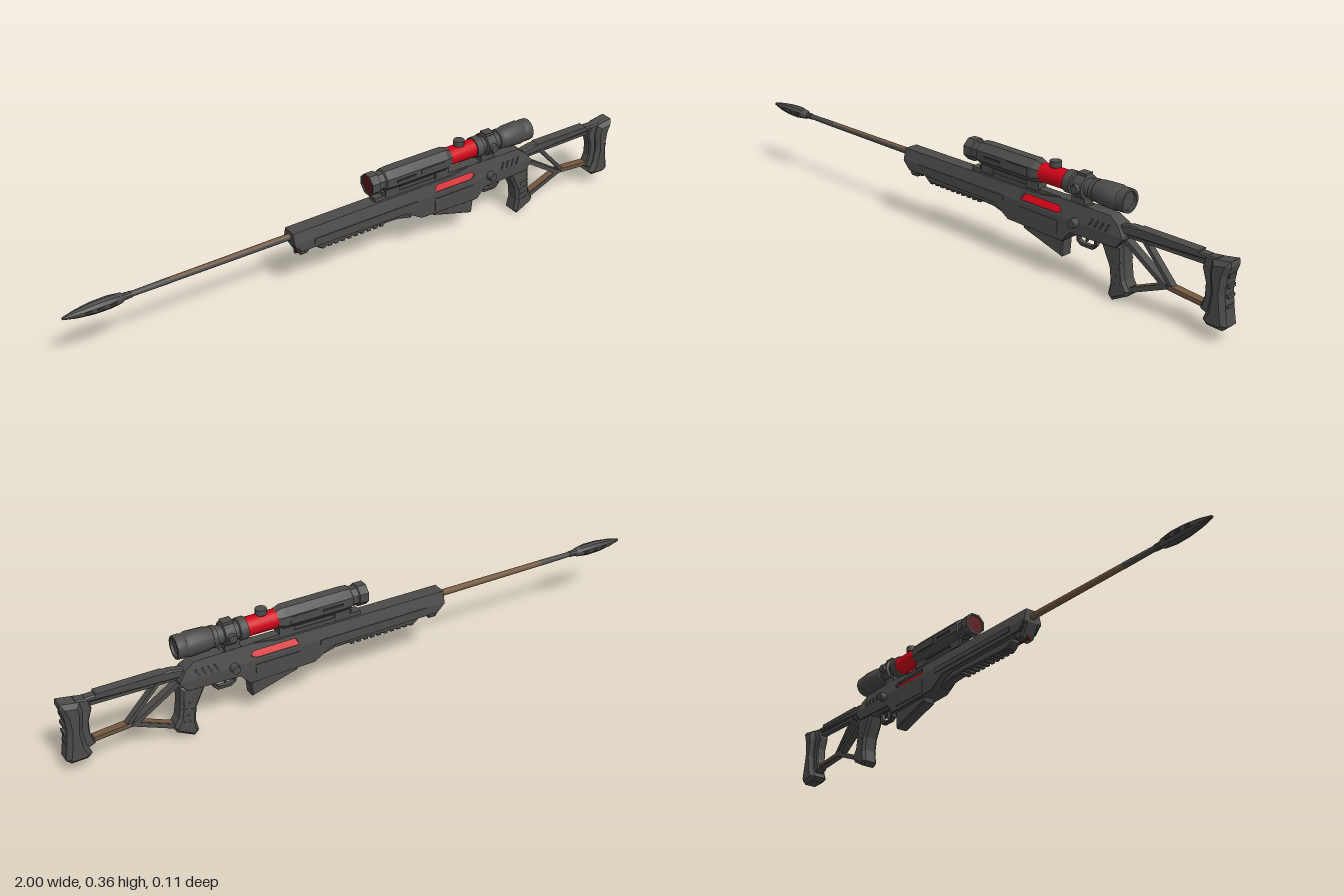
import * as THREE from 'three';
import { toCreasedNormals } from 'three/addons/utils/BufferGeometryUtils.js';

export function createModel() {
  const root = new THREE.Group();
  root.name = 'scopedRifle';
  const mat = (name, color) => {
    const m = new THREE.MeshStandardMaterial({ color });
    m.name = name;
    return m;
  };
  const body = mat('gunmetal', 0x4c4b4a);
  const dark = mat('darkRecess', 0x353434);
  const red = mat('redAccent', 0xd00418);
  const brown = mat('bronzeBarrel', 0x74583f);
  const lens = mat('lensDarkRed', 0x5a1a1a);

  const add = (name, geo, m = body) => {
    const mesh = new THREE.Mesh(geo, m);
    mesh.name = name;
    root.add(mesh);
    return mesh;
  };
  // side profile in x/y, extruded across z with chamfered edges
  const plate = (name, pts, width, m = body, bevel = 0.005, z = 0, holes = []) => {
    const shape = new THREE.Shape(pts.map(p => new THREE.Vector2(...p)));
    holes.forEach(h => shape.holes.push(new THREE.Path(h.map(p => new THREE.Vector2(...p)))));
    const geo = new THREE.ExtrudeGeometry(shape, {
      depth: width - 2 * bevel, bevelEnabled: bevel > 0, bevelThickness: bevel,
      bevelSize: bevel, bevelOffset: -bevel, bevelSegments: 1,
    });
    geo.translate(0, 0, z - width / 2 + bevel);
    return add(name, geo, m);
  };
  // narrows a plate towards its top, giving sloped flanks
  const slope = (mesh, rate = 8, base = 0.205) => {
    const p = mesh.geometry.attributes.position;
    for (let i = 0; i < p.count; i++) p.setZ(i, p.getZ(i) * (1 - Math.max(0, p.getY(i) - base) * rate));
    mesh.geometry.computeVertexNormals();
  };
  // turned part along x, points are [x, radius]
  const turned = (name, pts, y, m = body, sides = 16, crease = 0.6) => {
    const geo = new THREE.LatheGeometry(pts.map(([x, r]) => new THREE.Vector2(r, x)), sides, Math.PI / sides);
    geo.rotateZ(-Math.PI / 2).translate(0, y, 0);
    return add(name, toCreasedNormals(geo, crease), m);
  };
  const box = (name, x0, x1, y0, y1, width, m = body, z = 0) =>
    add(name, new THREE.BoxGeometry(x1 - x0, y1 - y0, width).translate((x0 + x1) / 2, (y0 + y1) / 2, z), m);
  const strut = (name, a, b, thick, width, m = body) => {
    const dx = b[0] - a[0], dy = b[1] - a[1];
    const geo = new THREE.BoxGeometry(Math.hypot(dx, dy) + thick * 0.5, thick, width);
    geo.rotateZ(Math.atan2(dy, dx)).translate((a[0] + b[0]) / 2, (a[1] + b[1]) / 2, 0);
    return add(name, geo, m);
  };

  // barrel: bronze with a grey strip along its front side, grey tip
  const by = 0.221;
  const barrelPart = (name, m, start, length) => add(name,
    new THREE.CylinderGeometry(0.011, 0.0095, 0.42, 12, 1, true, start, length)
      .rotateZ(-Math.PI / 2).translate(-0.46, by, 0), m);
  barrelPart('barrelFrontStrip', body, -0.7, 1.4);
  barrelPart('barrel', brown, 0.7, Math.PI * 2 - 1.4);
  turned('barrelTip', [[-0.83, 0], [-0.83, 0.008], [-0.67, 0.0098], [-0.66, 0]], by);
  turned('muzzleBrake', [[-1, 0], [-1, 0.004], [-0.96, 0.013], [-0.91, 0.019], [-0.86, 0.02],
    [-0.82, 0.015], [-0.815, 0.011], [-0.79, 0.01], [-0.79, 0]], by, body, 10);
  for (const s of [-1, 1]) for (let i = 0; i < 3; i++)
    box('muzzlePort', -0.935 + i * 0.035, -0.915 + i * 0.035, by - 0.005, by + 0.005, 0.006, dark, s * (0.0152 + Math.min(i, 1) * 0.002));

  // receiver and forend: straight lower half, sloped upper half with a window
  const slot = [[0.25, 0.212], [0.395, 0.212], [0.412, 0.222], [0.4, 0.234], [0.26, 0.234]];
  plate('lowerReceiver', [[-0.27, 0.2], [-0.245, 0.175], [0.14, 0.172], [0.2, 0.135], [0.42, 0.13], [0.45, 0.165],
    [0.56, 0.168], [0.62, 0.17], [0.645, 0.2], [0.643, 0.206], [-0.27, 0.206]], 0.066, body, 0.001);
  slope(plate('upperReceiver', [[-0.27, 0.205], [0.643, 0.205], [0.62, 0.235], [0.59, 0.255], [0.4, 0.257],
    [0.32, 0.245], [-0.27, 0.242]], 0.066, body, 0, 0, [slot]));
  // tilted red inlay set back inside the window
  slope(plate('redSlot', slot, 0.058, red, 0), 29, 0.212);
  for (let i = 0; i < 4; i++) {
    const x = 0.515 + i * 0.02;
    slope(plate('coolingSlash', [[x, 0.208], [x + 0.008, 0.208], [x + 0.018, 0.23], [x + 0.01, 0.23]], 0.069, dark, 0));
  }
  plate('forendCollar', [[-0.27, 0.2], [-0.245, 0.155], [-0.22, 0.155], [-0.2, 0.18], [-0.2, 0.205]], 0.05, body, 0.006);
  const lamp = add('forendLamp', new THREE.CylinderGeometry(0.007, 0.007, 0.04, 12), lens);
  lamp.rotation.z = Math.PI / 2;
  lamp.position.set(-0.233, 0.16, 0);
  for (const s of [-1, 1]) {
    box('forendSidePanel', -0.2, 0.18, 0.188, 0.206, 0.005, body, s * 0.033);
    const pin = add('receiverKnob', new THREE.CylinderGeometry(0.013, 0.015, 0.022, 10));
    pin.rotation.x = s * Math.PI / 2;
    pin.position.set(0.47, 0.203, s * 0.042);
    box('magazineWellPanel', 0.25, 0.4, 0.145, 0.19, 0.004, body, s * 0.033);
  }

  // under rail with a curved hook at the rear
  plate('underRail', [[-0.19, 0.165], [-0.17, 0.148], [0.06, 0.152], [0.12, 0.15], [0.17, 0.137],
    [0.175, 0.145], [0.14, 0.166], [0.1, 0.178], [-0.19, 0.178]], 0.034, body, 0.004);
  for (let i = 0; i < 10; i++) box('railTooth', -0.165 + i * 0.024, -0.152 + i * 0.024, 0.145, 0.156, 0.03);

  // magazine, trigger and guard
  plate('magazine', [[0.25, 0.14], [0.255, 0.118], [0.41, 0.073], [0.415, 0.14]], 0.044, body, 0.004);
  plate('triggerGuard', [[0.45, 0.17], [0.455, 0.135], [0.47, 0.124], [0.515, 0.124], [0.53, 0.14], [0.53, 0.17]], 0.018, body, 0.002, 0,
    [[[0.461, 0.165], [0.52, 0.165], [0.52, 0.143], [0.51, 0.134], [0.474, 0.134], [0.463, 0.141]]]);
  strut('trigger', [0.495, 0.168], [0.488, 0.142], 0.006, 0.008);

  // pistol grip
  plate('grip', [[0.555, 0.18], [0.565, 0.155], [0.592, 0.1], [0.598, 0.055], [0.59, 0.015], [0.605, 0.001],
    [0.66, 0.03], [0.668, 0.045], [0.65, 0.075], [0.643, 0.12], [0.64, 0.18]], 0.056, body, 0.009);
  for (const s of [-1, 1]) for (let i = 0; i < 4; i++)
    strut('gripRidge', [0.606, 0.055 + i * 0.022], [0.636, 0.063 + i * 0.022], 0.004, 0.003).position.z = s * 0.0275;

  // skeleton stock
  plate('stockTopBar', [[0.62, 0.21], [0.9, 0.222], [0.92, 0.222], [0.92, 0.238], [0.66, 0.243], [0.62, 0.235]], 0.03, body, 0.004);
  box('cheekRest', 0.68, 0.89, 0.23, 0.243, 0.032);
  strut('stockUpperRail', [0.64, 0.208], [0.92, 0.212], 0.011, 0.018);
  strut('frontStrut', [0.625, 0.2], [0.78, 0.1], 0.014, 0.026);
  strut('middleStrut', [0.7, 0.212], [0.805, 0.1], 0.012, 0.022);
  strut('gripStrut', [0.655, 0.045], [0.785, 0.1], 0.015, 0.026);
  strut('gripStrutInlay', [0.67, 0.059], [0.77, 0.1015], 0.003, 0.022, brown);
  strut('lowerBar', [0.78, 0.1], [0.92, 0.088], 0.012, 0.024);
  strut('lowerBarInlay', [0.8, 0.102], [0.905, 0.093], 0.009, 0.026, brown);
  plate('buttBracket', [[0.905, 0.08], [0.95, 0.06], [0.95, 0.24], [0.912, 0.235], [0.905, 0.2], [0.918, 0.16], [0.918, 0.12]], 0.034, body, 0.004);
  plate('buttPad', [[0.92, 0.055], [0.935, 0.042], [0.985, 0.04], [1, 0.055], [0.992, 0.1], [0.985, 0.15],
    [0.99, 0.2], [1, 0.23], [0.997, 0.245], [0.94, 0.235], [0.934, 0.2], [0.942, 0.14], [0.935, 0.09]], 0.066, body, 0.013);
  for (let i = 0; i < 4; i++) box('buttPadRib', 0.975, 0.994, 0.105 + i * 0.03, 0.115 + i * 0.03, 0.03);

  // scope rail and mounts
  const sy = 0.308;
  box('scopeRail', 0.03, 0.5, 0.24, 0.257, 0.03);
  box('scopeMountBase', 0.06, 0.3, 0.25, 0.268, 0.024);
  for (const x of [0.07, 0.26, 0.44]) box('scopeMount', x, x + 0.05, 0.25, 0.285, 0.036);

  // scope
  turned('objectiveHousing', [[0.014, 0.03], [0.01, 0.031], [0.01, 0.037], [0.04, 0.037], [0.042, 0.032], [0.062, 0.032],
    [0.065, 0.037], [0.09, 0.039], [0.295, 0.039], [0.317, 0.031], [0.317, 0]], sy, body, 8, 0.3);
  turned('objectiveLens', [[0.013, 0], [0.013, 0.03], [0.02, 0.03]], sy, lens, 8);
  for (const s of [-1, 1]) {
    box('housingSlot', 0.1, 0.17, sy - 0.004, sy + 0.004, 0.004, dark, s * 0.036);
    box('housingPanel', 0.19, 0.28, sy - 0.012, sy + 0.012, 0.004, body, s * 0.036);
  }
  turned('redScopeTube', [[0.31, 0], [0.31, 0.03], [0.42, 0.03], [0.42, 0]], sy, red);
  add('elevationKnob', new THREE.CylinderGeometry(0.018, 0.018, 0.018, 12).translate(0.36, 0.347, 0));
  add('elevationStem', new THREE.CylinderGeometry(0.011, 0.014, 0.02, 12).translate(0.36, 0.335, 0));
  turned('scopeRings', [[0.415, 0], [0.415, 0.035], [0.44, 0.035], [0.442, 0.028], [0.455, 0.028], [0.457, 0.038],
    [0.49, 0.038], [0.492, 0.029], [0.51, 0.029], [0.512, 0.034], [0.525, 0.034], [0.525, 0]], sy);
  for (const s of [-1, 1]) {
    const knob = add('windageKnob', new THREE.CylinderGeometry(0.013, 0.016, 0.018, 10));
    knob.rotation.x = s * Math.PI / 2;
    knob.position.set(0.473, sy, s * 0.038);
  }
  box('ringClamp', 0.457, 0.49, 0.34, 0.351, 0.03);
  turned('eyepiece', [[0.52, 0], [0.52, 0.031], [0.545, 0.037], [0.6, 0.039], [0.61, 0.035], [0.618, 0.037],
    [0.64, 0.036], [0.64, 0.028], [0.632, 0.027], [0.632, 0]], sy);

  return root;
}
